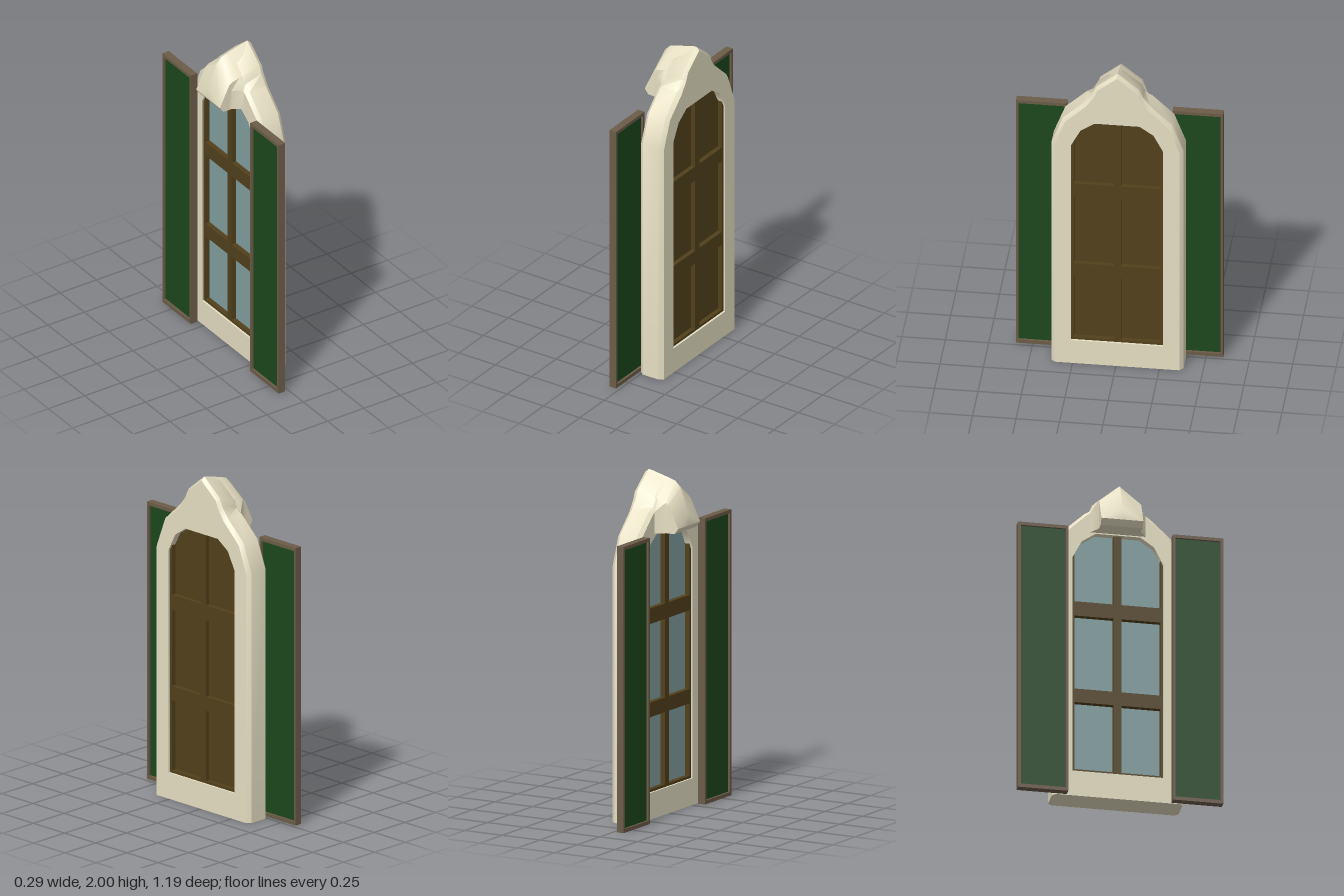
import * as THREE from 'three';
import { toCreasedNormals } from 'three/addons/utils/BufferGeometryUtils.js';

const material = (color) => new THREE.MeshStandardMaterial({ color });
const stone = material(0xe6dfc3);
const wood = material(0x52401b);
const trim = material(0x6b5c48);
const green = material(0x1b471b);
const glass = material(0x829f9f);

function add(parent, name, geometry, mat, x = 0, y = 0, z = 0) {
  const mesh = new THREE.Mesh(geometry, mat);
  mesh.name = name;
  mesh.position.set(x, y, z);
  parent.add(mesh);
  return mesh;
}

// Half profile of [z, y] points on the +z side, mirrored into a full outline
const mirror = (half) => [
  ...half,
  ...half.filter((p) => p[0] > 0).reverse().map(([z, y]) => [-z, y]),
];

// Skins closed rings of [x, y, z] points, ordered from -x to +x
function loft(rings) {
  const pos = [];
  for (let i = 0; i < rings.length - 1; i++) {
    const n = rings[i].length;
    for (let j = 0; j < n; j++) {
      const k = (j + 1) % n;
      const a = rings[i][j], b = rings[i][k], c = rings[i + 1][k], d = rings[i + 1][j];
      pos.push(...a, ...d, ...c, ...a, ...c, ...b);
    }
  }
  const g = new THREE.BufferGeometry();
  g.setAttribute('position', new THREE.Float32BufferAttribute(pos, 3));
  return toCreasedNormals(g, 0.6);
}

const vectors = (pts) => pts.map(([z, y]) => new THREE.Vector2(-z, y));
const rect = (z0, z1, y0, y1) => [[z0, y0], [z0, y1], [z1, y1], [z1, y0]];

// Flat shape with holes, optionally extruded along +x
function panel(outline, holes, depth) {
  const shape = new THREE.Shape(vectors(outline));
  shape.holes = holes.map((h) => new THREE.Path(vectors(h)));
  const g = depth
    ? new THREE.ExtrudeGeometry(shape, { depth, bevelEnabled: false })
    : new THREE.ShapeGeometry(shape);
  return g.rotateY(Math.PI / 2);
}

// Pointed surround with bevelled outer edges and an arched opening
function buildSurround() {
  const group = new THREE.Group();
  group.name = 'surround';
  const outer = mirror([[0.38, 0], [0.38, 1.5], [0.313, 1.675], [0.19, 1.79], [0.145, 1.85], [0.123, 1.9], [0, 2]]);
  const inset = mirror([[0.36, 0], [0.36, 1.495], [0.298, 1.66], [0.178, 1.775], [0.133, 1.84], [0.115, 1.885], [0, 1.98]]);
  const opening = mirror([[0.265, 0.157], [0.265, 1.5], [0.21, 1.605], [0.13, 1.66]]);
  // The gable slopes down towards the rear
  const lower = (pts, drop) => pts.map(([z, y]) => [z, y > 1.8 ? y - drop : y]);
  const ring = (pts, x) => pts.map(([z, y]) => [x, y, z]);
  const rear = lower(inset, 0.035);
  add(group, 'surroundEdge', loft([
    ring(rear, -0.012), ring(lower(outer, 0.032), 0.01), ring(outer, 0.122), ring(inset, 0.145),
  ]), stone);
  add(group, 'openingReveal', loft([ring(opening, 0.145), ring(opening, -0.012)]), stone);
  add(group, 'innerFace', panel(inset, [opening]), stone, 0.145);
  // The outline is symmetric, so a half turn gives the opposite face
  add(group, 'outerFace', panel(rear, [opening]).rotateY(Math.PI), stone, -0.012);
  return group;
}

// Gabled hood that droops at its tip and flares into the surround
function buildHood() {
  const half = [ // bottom, flare, eave, ridge as [x, y, z]
    [[-0.123, 1.667, 0.122], [-0.136, 1.683, 0.122], [-0.148, 1.7, 0.122], [-0.148, 1.765, 0]],
    [[-0.09, 1.667, 0.122], [-0.088, 1.77, 0.122], [-0.085, 1.83, 0.122], [-0.09, 1.915, 0]],
    [[-0.07, 1.667, 0.122], [-0.068, 1.79, 0.122], [-0.065, 1.845, 0.122], [-0.055, 1.951, 0]],
    [[-0.012, 1.667, 0.16], [-0.012, 1.79, 0.16], [-0.012, 1.86, 0.122], [-0.012, 1.965, 0]],
    [[0.11, 1.68, 0.11], [0.11, 1.8, 0.11], [0.11, 1.885, 0.115], [0.11, 1.998, 0]],
  ];
  const rings = half.map((h) => [...h, ...h.slice(0, 3).reverse().map(([x, y, z]) => [x, y, -z])]);
  // Rings collapsed onto the centre plane close both ends
  const flat = (r) => r.map(([x, y]) => [x, y, 0]);
  return loft([flat(rings[0]), ...rings, flat(rings[4])]);
}

// Wooden lattice, nearly flush with the surround, with three rows of paired panes
function buildSash() {
  const group = new THREE.Group();
  group.name = 'sash';
  const holes = [];
  for (const [y0, y1] of [[0.172, 0.595], [0.68, 1.14], [1.23, 1.67]]) {
    for (const [z0, z1] of [[-0.25, -0.022], [0.022, 0.25]]) {
      holes.push(rect(z0, z1, y0, y1));
      const h = y1 - y0, w = z1 - z0, y = (y0 + y1) / 2, z = (z0 + z1) / 2;
      add(group, 'innerPanel', new THREE.BoxGeometry(0.015, h, w), wood, 0.097, y, z);
      add(group, 'glassPane', new THREE.BoxGeometry(0.012, h, w), glass, 0.036, y, z);
    }
  }
  add(group, 'lattice', panel(rect(-0.27, 0.27, 0.15, 1.68), holes, 0.132), wood);
  return group;
}

// Shutter with a slim rim around a recessed panel
function buildShutter(side) {
  const group = new THREE.Group();
  group.name = side > 0 ? 'frontShutter' : 'backShutter';
  const rim = panel(rect(-0.146, 0.146, 0, 1.672), [rect(-0.131, 0.131, 0.022, 1.652)], 0.045);
  add(group, 'shutterRim', rim, trim, -0.0225);
  add(group, 'shutterPanel', new THREE.BoxGeometry(0.018, 1.632, 0.264), green, 0, 0.837);
  group.position.set(-0.044, 0, side * 0.451);
  return group;
}

export function createModel() {
  const model = new THREE.Group();
  model.name = 'shutteredWindow';
  const window = new THREE.Group();
  window.name = 'window';
  window.position.z = -0.006;
  window.add(buildSurround(), buildSash());
  add(window, 'hood', buildHood(), stone);
  model.add(window, buildShutter(1), buildShutter(-1));
  return model;
}
